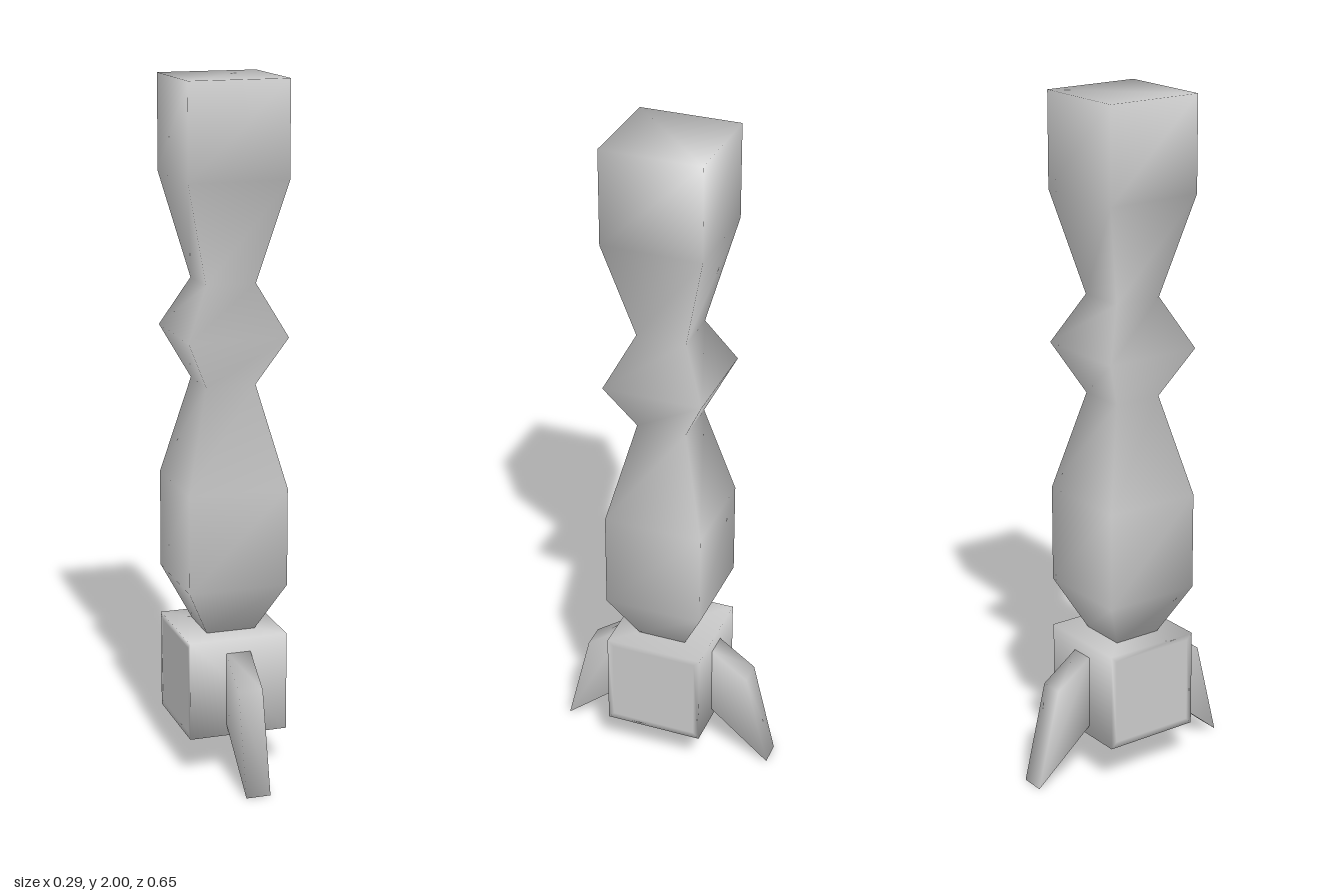
import * as THREE from 'three';

const material = new THREE.MeshStandardMaterial({ color: 0xcccccc });

// Skins a list of four-cornered rings, closes both ends and smooths across shared corners.
// Corners run counter-clockwise when looking back along the stacking direction.
function loft(name, rings) {
  const index = [];
  const quad = (a, b, c, d) => index.push(a, b, c, a, c, d);
  for (let i = 0; i < rings.length - 1; i++) {
    for (let j = 0; j < 4; j++) {
      const k = (j + 1) % 4, p = i * 4, q = p + 4;
      quad(p + j, p + k, q + k, q + j);
    }
  }
  const e = (rings.length - 1) * 4;
  quad(3, 2, 1, 0);
  quad(e, e + 1, e + 2, e + 3);
  const geometry = new THREE.BufferGeometry();
  geometry.setAttribute('position', new THREE.Float32BufferAttribute(rings.flat(2), 3));
  geometry.setIndex(index);
  geometry.computeVertexNormals();
  const mesh = new THREE.Mesh(geometry, material);
  mesh.name = name;
  return mesh;
}

// Square ring around the y axis
const square = (y, r) => [[-r, y, r], [r, y, r], [r, y, -r], [-r, y, -r]];

// Rectangular ring in the yz plane, shrunk by an inset
const sideRing = (x, inset) => {
  const z = 0.146 - inset, lo = 0.12 + inset, hi = 0.412 - inset;
  return [[x, hi, -z], [x, hi, z], [x, lo, z], [x, lo, -z]];
};

export function createModel() {
  const group = new THREE.Group();

  // Waisted square column: [height, half width]
  const profile = [
    [0.412, 0.073], [0.56, 0.146], [0.847, 0.146], [1.14, 0.073],
    [1.285, 0.146], [1.43, 0.073], [1.725, 0.146], [2, 0.146],
  ];
  group.add(loft('column', profile.map(([y, r]) => square(y, r))));

  // Base block with an inset panel on each side
  const w = 0.146, inset = 0.018;
  group.add(loft('baseBlock', [
    sideRing(-w, inset), sideRing(-w, 0), sideRing(w, 0), sideRing(w, inset),
  ]));

  // Front and back legs: [y, z] outline from the block out to a pointed foot
  const outline = [[0.375, 0.14], [0.293, 0.256], [0, 0.327], [0.157, 0.14]];
  const legRing = (x) => outline.map(([y, z]) => [x, y, z]);
  ['frontLeg', 'backLeg'].forEach((name, i) => {
    const leg = loft(name, [legRing(-0.036), legRing(0.036)]);
    leg.rotation.y = i * Math.PI;
    group.add(leg);
  });

  return group;
}
